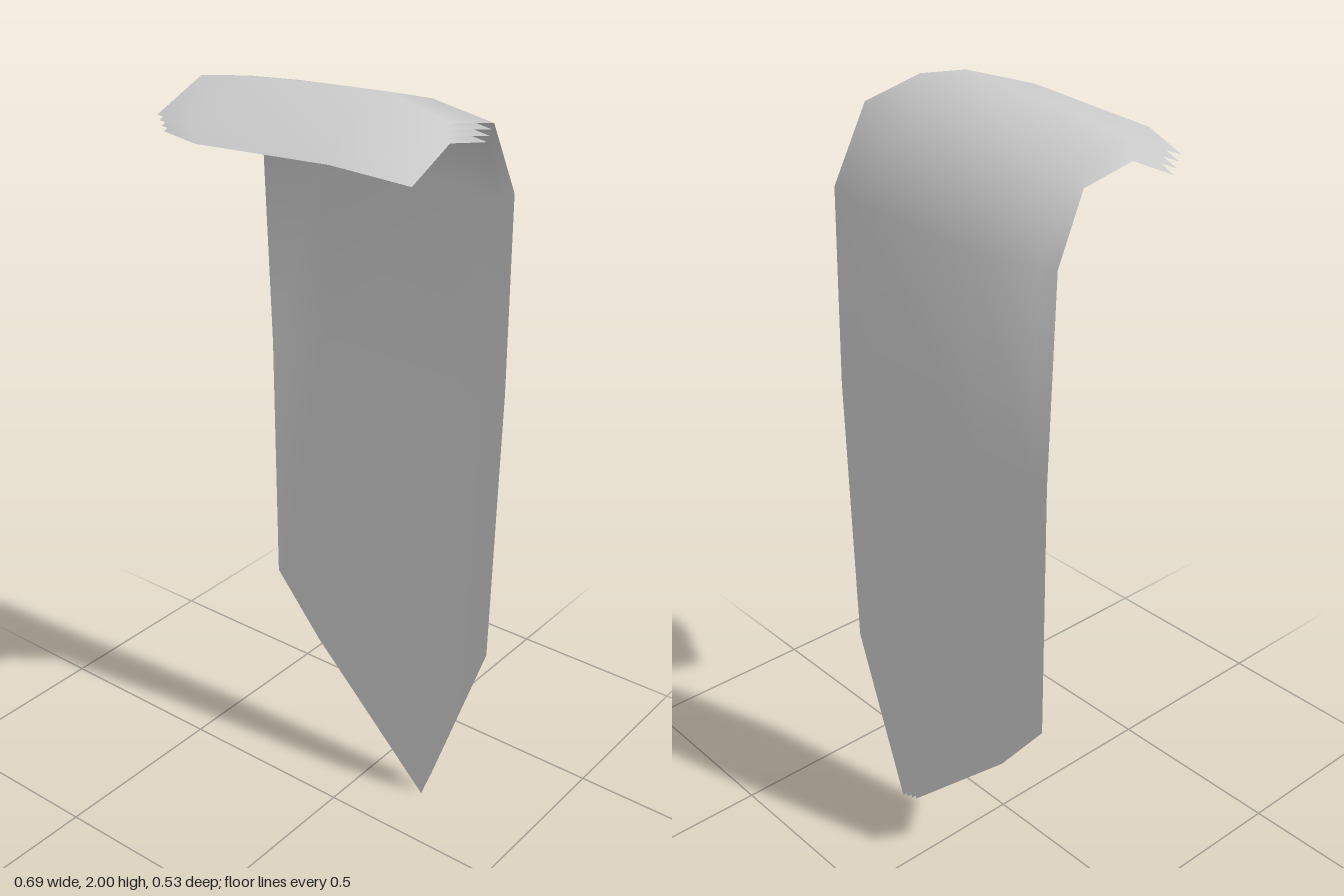
import * as THREE from 'three';

// Rows run from the front lip over the crest and down to the pointed hem.
// Each row holds four [x, y, z] points across the cloth plus the
// [dy, dz] step from one layer to the next one inside it.
const rows = [
  { step: [-0.014, -0.006], pts: [[-0.345, 1.895, 0.2], [-0.19, 1.908, 0.263], [0.182, 1.93, 0.263], [0.345, 1.9, 0.2]] },
  { step: [-0.014, 0], pts: [[-0.345, 1.955, 0.05], [-0.19, 1.975, 0.05], [0.182, 2.0, 0.05], [0.345, 1.96, 0.05]] },
  { step: [-0.012, 0.008], pts: [[-0.345, 1.922, -0.115], [-0.19, 1.935, -0.115], [0.182, 1.952, -0.115], [0.345, 1.925, -0.115]] },
  { step: [-0.006, 0.015], pts: [[-0.345, 1.745, -0.205], [-0.19, 1.75, -0.263], [0.182, 1.755, -0.263], [0.345, 1.745, -0.213]] },
  { step: [-0.01, 0.015], pts: [[-0.342, 1.25, -0.223], [-0.19, 1.25, -0.246], [0.182, 1.25, -0.246], [0.342, 1.25, -0.225]] },
  { step: [-0.013, 0.015], pts: [[-0.33, 0.572, -0.215], [-0.19, 0.395, -0.22], [0.18, 0.04, -0.21], [0.336, 0.502, -0.215]] },
];
const layerCount = 4;

// One thin sheet through the rows, shifted inward by its layer number
function clothLayer(layer) {
  const positions = [], indices = [];
  const cols = rows[0].pts.length;
  for (const { pts, step } of rows) {
    for (const [x, y, z] of pts) positions.push(x, y + layer * step[0], z + layer * step[1]);
  }
  for (let r = 0; r < rows.length - 1; r++) {
    for (let c = 0; c < cols - 1; c++) {
      const a = r * cols + c, b = a + 1, d = a + cols, e = d + 1;
      indices.push(a, b, d, b, e, d);
    }
  }
  const geometry = new THREE.BufferGeometry();
  geometry.setAttribute('position', new THREE.Float32BufferAttribute(positions, 3));
  geometry.setIndex(indices);
  geometry.computeVertexNormals();
  return geometry;
}

export function createModel() {
  const group = new THREE.Group();
  group.name = 'layeredDrape';
  const material = new THREE.MeshStandardMaterial({ color: 0xcccccc, side: THREE.DoubleSide });

  // Nested sheets, outermost first
  for (let i = 0; i < layerCount; i++) {
    const sheet = new THREE.Mesh(clothLayer(i), material);
    sheet.name = `clothLayer${i + 1}`;
    group.add(sheet);
  }
  return group;
}
